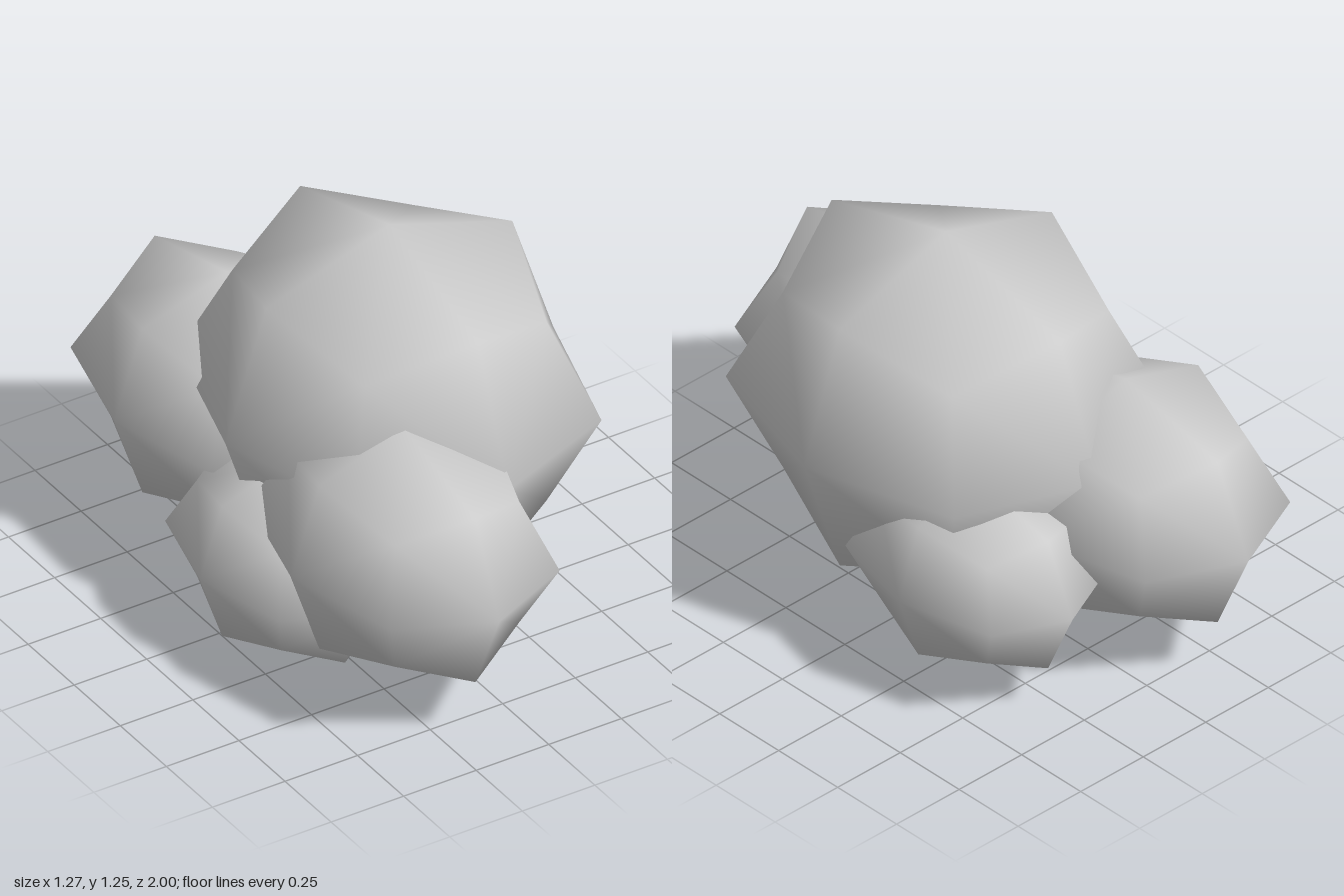
import * as THREE from 'three';
import { mergeVertices } from 'three/addons/utils/BufferGeometryUtils.js';

// Rounded cube of 24 quads: face centres at 1, edge middles at 3/4, corners at 5/9
function puffGeometry() {
  const positions = [];
  const reach = [0, 1, 3 / 4, 5 / 9];
  for (const sx of [-1, 1]) for (const sy of [-1, 1]) for (const sz of [-1, 1]) {
    const sign = [sx, sy, sz];
    const point = (...axes) => {
      const p = [0, 0, 0];
      for (const a of axes) p[a] = sign[a] * reach[axes.length];
      return p;
    };
    for (let a = 0; a < 3; a++) {
      const b = (a + 1) % 3, c = (a + 2) % 3;
      const face = point(a), corner = point(0, 1, 2);
      let e1 = point(a, b), e2 = point(a, c);
      if (sx * sy * sz < 0) [e1, e2] = [e2, e1];
      positions.push(...face, ...e1, ...corner, ...face, ...corner, ...e2);
    }
  }
  const geometry = new THREE.BufferGeometry();
  geometry.setAttribute('position', new THREE.Float32BufferAttribute(positions, 3));
  const merged = mergeVertices(geometry);
  merged.computeVertexNormals();
  return merged;
}

export function createModel() {
  const group = new THREE.Group();
  group.name = 'cloud';
  const geometry = puffGeometry();
  const material = new THREE.MeshStandardMaterial({ color: 0xcccccc });

  // Each puff: name, centre, radii
  const puffs = [
    ['mainPuff', [0.065, 0.685, 0.033], [0.565, 0.565, 0.645]],
    ['frontPuff', [-0.17, 0.493, 0.48], [0.387, 0.382, 0.52]],
    ['backPuff', [-0.17, 0.493, -0.48], [0.387, 0.382, 0.52]],
    ['lowRightPuff', [-0.333, 0.303, 0.11], [0.303, 0.303, 0.412]],
    ['lowLeftPuff', [0.295, 0.38, -0.335], [0.303, 0.303, 0.412]],
  ];
  for (const [name, centre, radii] of puffs) {
    const puff = new THREE.Mesh(geometry, material);
    puff.name = name;
    puff.position.set(...centre);
    puff.scale.set(...radii);
    group.add(puff);
  }
  return group;
}
